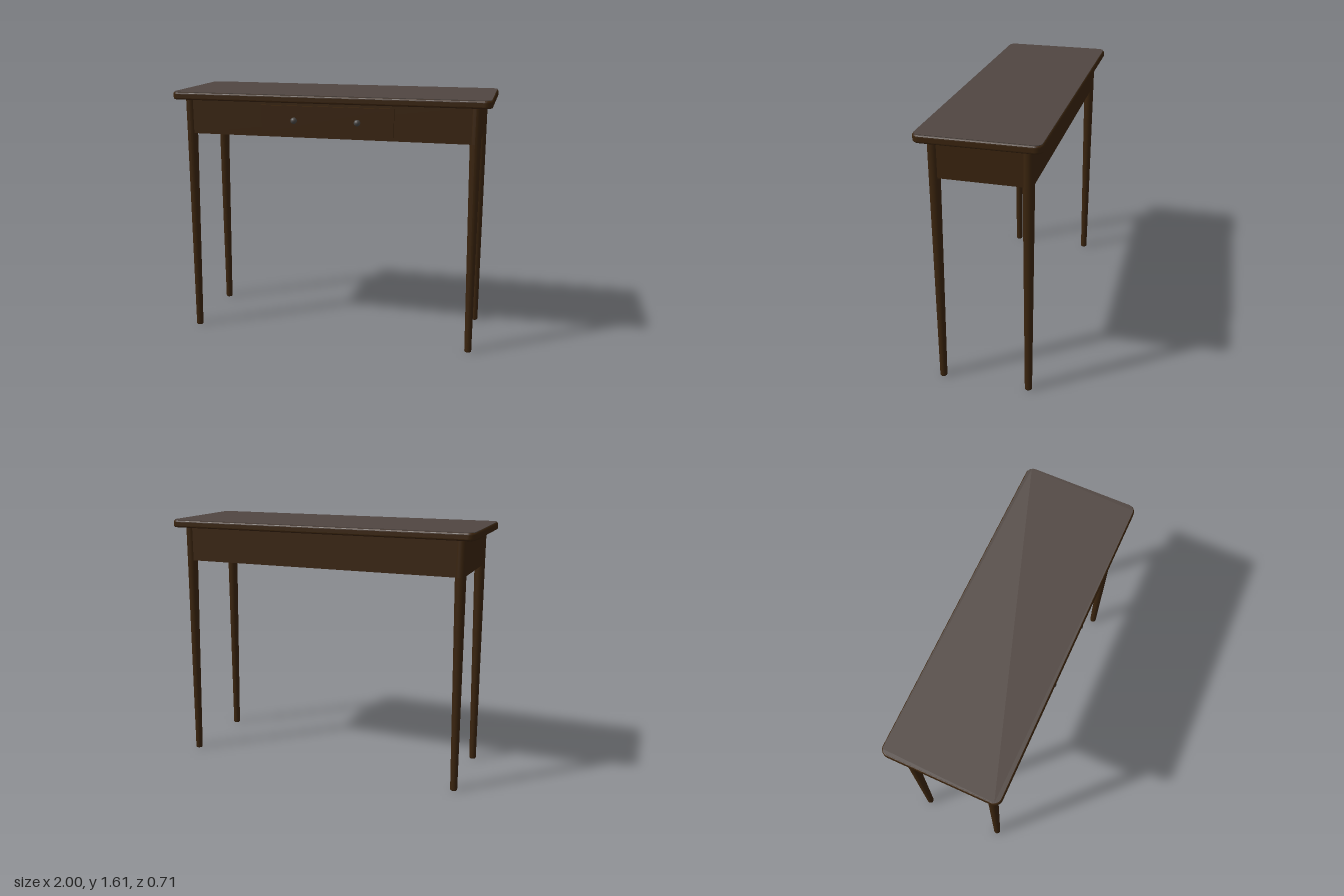
import * as THREE from 'three';

const TOP = 1.555, APRON = 1.335; // underside of the top, lower edge of the apron

const mat = (name, color) => {
  const m = new THREE.MeshStandardMaterial({ color });
  m.name = name;
  return m;
};

// Rectangle with rounded corners, centred on the origin
function roundedRect(hw, hd, r) {
  const s = new THREE.Shape();
  s.absarc(hw - r, hd - r, r, 0, Math.PI / 2);
  s.absarc(-hw + r, hd - r, r, Math.PI / 2, Math.PI);
  s.absarc(-hw + r, -hd + r, r, Math.PI, Math.PI * 1.5);
  s.absarc(hw - r, -hd + r, r, Math.PI * 1.5, Math.PI * 2);
  return s;
}

// Round leg: straight beside the apron, then tapering and splaying outwards
function legGeometry(sx, sz) {
  const profile = [[0, 0], [0.019, 0], [0.022, 0.004], [0.022, 0.01], [0.033, APRON], [0.033, TOP]]
    .map(([x, y]) => new THREE.Vector2(x, y));
  const g = new THREE.LatheGeometry(profile, 24);
  const p = g.attributes.position;
  for (let i = 0; i < p.count; i++) {
    const t = Math.max(0, 1 - p.getY(i) / APRON);
    p.setX(i, p.getX(i) + sx * (0.905 + 0.014 * t));
    p.setZ(i, p.getZ(i) + sz * (0.265 + 0.005 * t));
  }
  g.computeVertexNormals();
  return g;
}

export function createModel() {
  const wood = mat('dark wood', 0x3a240e);
  const surface = mat('grey brown surface', 0x504641);
  const metal = mat('knob metal', 0x4a4846);

  const table = new THREE.Group();
  table.name = 'consoleTable';
  const add = (name, geometry, material, x = 0, y = 0, z = 0) => {
    const m = new THREE.Mesh(geometry, material);
    m.name = name;
    m.position.set(x, y, z);
    table.add(m);
    return m;
  };
  const box = (name, w, h, d, x, y, z) => add(name, new THREE.BoxGeometry(w, h, d), wood, x, y, z);

  // Table top with softened edges
  const b = 0.012;
  const slab = new THREE.ExtrudeGeometry(roundedRect(1 - b, 0.357 - b, 0.035), {
    depth: 0.047 - 2 * b, bevelThickness: b, bevelSize: b, bevelSegments: 4, curveSegments: 8,
  });
  slab.rotateX(-Math.PI / 2);
  add('tableTop', slab, wood, 0, TOP + b, 0);

  // Thin finish on the upper face
  const finish = new THREE.ExtrudeGeometry(roundedRect(0.993, 0.35, 0.04), {
    depth: 0.004, bevelEnabled: false, curveSegments: 8,
  });
  finish.rotateX(-Math.PI / 2);
  add('topFinish', finish, surface, 0, TOP + 0.046, 0);

  // Apron boards
  const h = TOP - APRON, y = (TOP + APRON) / 2;
  box('frontApron', 1.79, h, 0.02, 0, y, 0.28);
  box('backApron', 1.79, h, 0.02, 0, y, -0.28);
  for (const s of [-1, 1]) box('sideApron', 0.02, h, 0.52, s * 0.918, y, 0);

  // Legs
  for (const sx of [-1, 1])
    for (const sz of [-1, 1]) add('leg', legGeometry(sx, sz), wood);

  // Drawer front with two knobs
  box('drawerFront', 0.84, 0.175, 0.018, 0, 1.445, 0.297);
  for (const s of [-1, 1]) {
    add('knob', new THREE.SphereGeometry(0.02, 20, 14), metal, s * 0.2, 1.445, 0.331);
    const stem = new THREE.CylinderGeometry(0.007, 0.007, 0.02, 12);
    stem.rotateX(Math.PI / 2);
    add('knobStem', stem, metal, s * 0.2, 1.445, 0.312);
  }
  return table;
}
